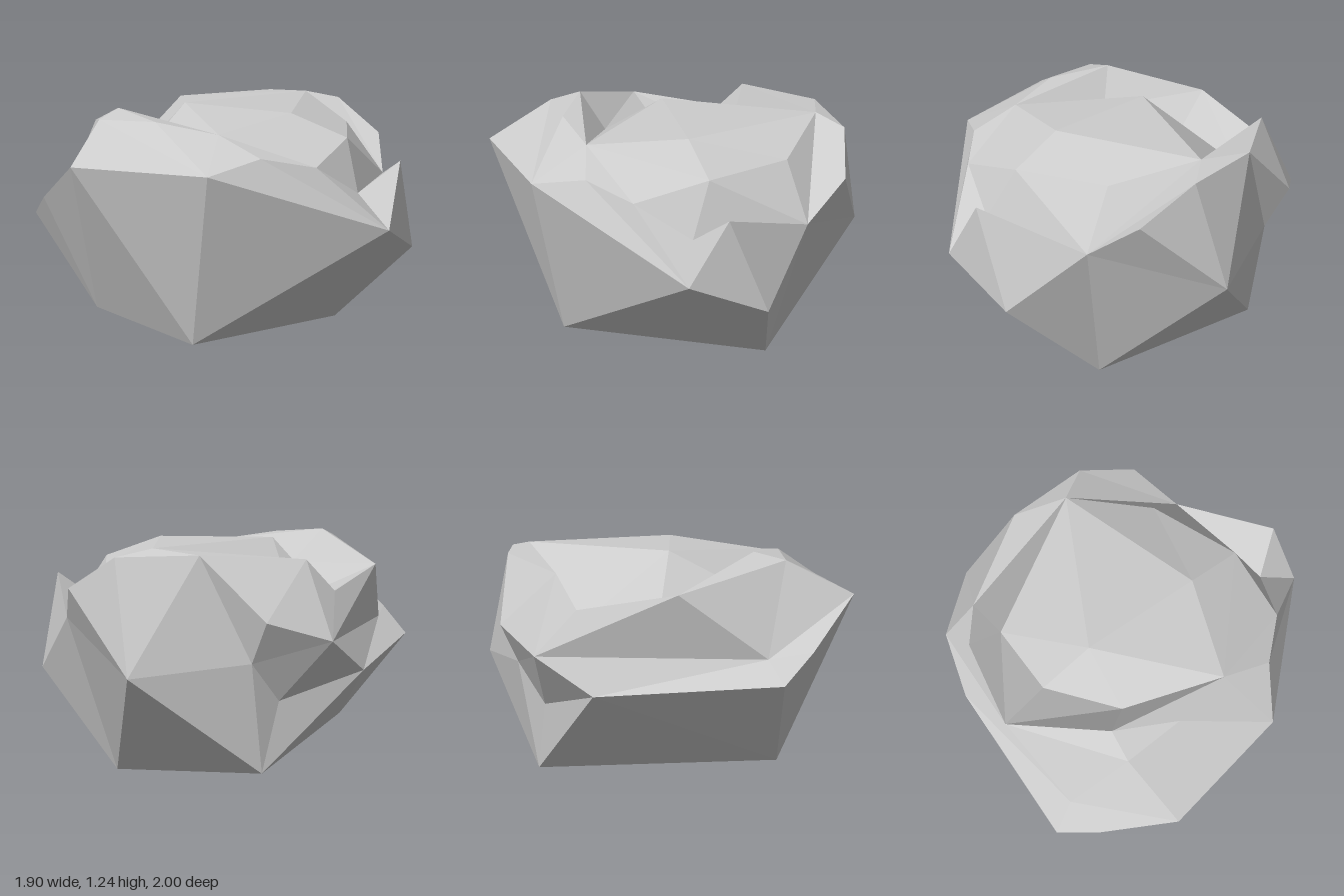
import * as THREE from 'three';

// Cross-section loops of the boulder, from the underside up and inward over the top.
// Each runs front -> +x -> back -> -x; neighbouring loops may share points.
const underside = [[0.22, 0.09, 0.59], [0.32, 0, -0.5], [-0.6, 0.11, -0.56], [-0.41, 0.18, 0.65]];

const waist = [
  [-0.21, 1.02, 1], [0.43, 1.01, 0.71], [0.95, 0.68, -0.08], [0.84, 0.5, -0.47],
  [0.5, 0.82, -0.68], [-0.11, 0.6, -1], [-0.6, 0.67, -0.66], [-0.66, 0.47, -0.5],
  [-0.95, 0.6, -0.16], [-0.77, 0.66, 0.74], [-0.58, 0.79, 0.85],
];

const shoulder = [
  [-0.34, 1.2, 0.67], [-0.03, 1.21, 0.58], [0.27, 1.16, 0.44], [0.53, 1.07, 0.43],
  [0.69, 1.01, 0.19], [0.74, 0.84, -0.1], [0.88, 1, -0.27], [0.5, 0.82, -0.68],
  [0.33, 1, -0.88], [0.03, 1.17, -0.9], [-0.38, 1.19, -0.78], [-0.71, 0.88, -0.71],
  [-0.93, 0.78, -0.46], [-0.65, 0.76, 0.64],
];

const rim = [
  [-0.36, 1.24, 0.51], [0.27, 1.16, 0.44], [0.61, 1.1, -0.18], [0.5, 0.82, -0.68],
  [-0.1, 1.21, -0.76], [-0.75, 1.16, -0.4], [-0.84, 1, -0.27], [-0.82, 1.09, 0.23],
];

const groove = [
  [-0.25, 1.06, 0.37], [-0.3, 1.22, 0.06], [0.32, 1.21, -0.08], [0.32, 1.1, -0.58],
  [-0.1, 1.21, -0.76], [-0.66, 0.88, -0.32], [-0.57, 0.96, 0.08],
];

const plateau = [[-0.3, 1.22, 0.06], [0.32, 1.21, -0.08], [-0.1, 1.21, -0.76]];

// Bands between loops: 'a' steps along the lower loop, 'b' along the upper one.
const bands = [
  [underside, waist, 'bba bbba bbba bbba'],
  [waist, shoulder, 'abbb abbb abab abb abb aab aaab'],
  [shoulder, rim, 'aab aab ab aaaab ab aabb aab'],
  [rim, groove, 'abb ab aabb aaabb a'],
  [groove, plateau, 'aab aabb aaa'],
];

function createModel() {
  const positions = [];
  const same = (p, q) => p.every((v, i) => v === q[i]);
  const triangle = (p, q, r) => {
    if (same(p, q) || same(q, r) || same(r, p)) return; // shared points leave no face
    positions.push(...p, ...q, ...r);
  };

  // Stitch each pair of loops with a ring of facets
  for (const [lower, upper, steps] of bands) {
    let i = 0;
    let j = 0;
    for (const step of steps.replaceAll(' ', '')) {
      const p = lower[i % lower.length];
      const q = upper[j % upper.length];
      if (step === 'a') triangle(p, lower[++i % lower.length], q);
      else triangle(p, upper[++j % upper.length], q);
    }
  }

  // Close the top and the underside
  triangle(...plateau);
  for (let i = 1; i < underside.length - 1; i++) {
    triangle(underside[0], underside[i + 1], underside[i]);
  }

  const geometry = new THREE.BufferGeometry();
  geometry.setAttribute('position', new THREE.Float32BufferAttribute(positions, 3));
  geometry.computeVertexNormals();

  const boulder = new THREE.Mesh(
    geometry,
    new THREE.MeshStandardMaterial({ color: 0xcccccc, flatShading: true }),
  );
  boulder.name = 'boulder';

  const group = new THREE.Group();
  group.name = 'rock';
  group.add(boulder);
  return group;
}

export { createModel };
